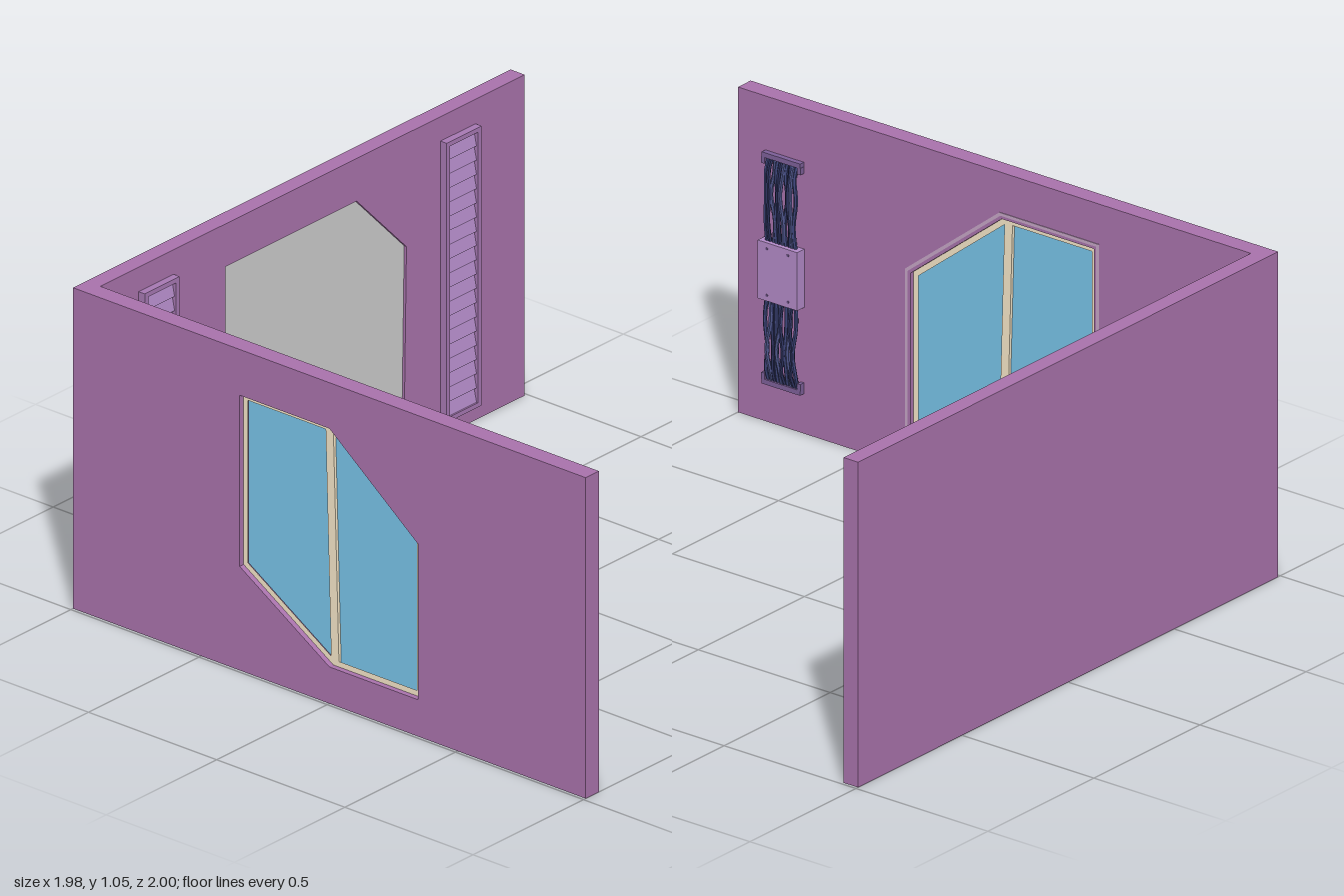
import * as THREE from 'three';

const material = (color, side = THREE.FrontSide) => new THREE.MeshStandardMaterial({ color, side, flatShading: true });
const WALL = material(0xa872ab);
const VENT = material(0xa678b2);
const SLAT = material(0xb189c6);
const GREY = material(0xcccccc);
const GLASS = material(0x78c3e8);
const CREAM = material(0xf5e6c8);
const TRIM = material(0xc4a5c4);
const BRACKET = material(0x7c5f98);
const CABLES = [material(0x3c4478), material(0x4d5488), material(0x2c315c)];
const H = 1.05;

function add(parent, name, geometry, mat, x = 0, y = 0, z = 0) {
  const mesh = new THREE.Mesh(geometry, mat);
  mesh.name = name;
  mesh.position.set(x, y, z);
  parent.add(mesh);
  return mesh;
}

// Box given by its lower and upper corners
function block(parent, name, a, b, mat) {
  const size = b.map((v, i) => v - a[i]);
  const mid = b.map((v, i) => (v + a[i]) / 2);
  return add(parent, name, new THREE.BoxGeometry(...size), mat, ...mid);
}

const points = list => list.map(p => new THREE.Vector2(...p));
const rect = (x0, y0, x1, y1) => [[x0, y0], [x1, y0], [x1, y1], [x0, y1]];

// Extruded outline from z0 to z1, with an optional hole
function plate(outline, hole, z0, z1) {
  const shape = new THREE.Shape(points(outline));
  if (hole) shape.holes.push(new THREE.Path(points(hole)));
  return new THREE.ExtrudeGeometry(shape, { depth: z1 - z0, bevelEnabled: false }).translate(0, 0, z0);
}

// Clockwise convex outline moved outward by d (inward when negative)
function offset(list, d) {
  const n = list.length;
  const normal = (a, b) => {
    const l = Math.hypot(b[0] - a[0], b[1] - a[1]);
    return [-(b[1] - a[1]) / l, (b[0] - a[0]) / l];
  };
  return list.map((p, i) => {
    const m = normal(list[(i + n - 1) % n], p);
    const k = normal(p, list[(i + 1) % n]);
    const s = d / (1 + m[0] * k[0] + m[1] * k[1]);
    return [p[0] + (m[0] + k[0]) * s, p[1] + (m[1] + k[1]) * s];
  });
}

// Side wall with the six-sided window; drawn with local x = -z and local z = x
function sideWall() {
  const g = new THREE.Group();
  g.name = 'sideWall';
  g.rotation.y = Math.PI / 2;
  const opening = [[-0.345, 0.63], [0, 0.9], [0.35, 0.9], [0.35, 0.34], [0, 0.12], [-0.345, 0.12]];
  add(g, 'wallPanel', plate(rect(-1, 0, 1, H), opening, -0.99, -0.93), WALL);
  add(g, 'windowTrim', plate(offset(opening, 0.02), offset(opening, 0.01), -0.932, -0.928), TRIM);
  add(g, 'windowFrame', plate(opening, offset(opening, -0.018), -0.972, -0.944), CREAM);
  add(g, 'windowGlass', plate(offset(opening, -0.01), null, -0.962, -0.954), GLASS);
  const mullion = [[-0.022, 0.13], [0.008, 0.13], [0.03, 0.89], [0, 0.89]];
  add(g, 'windowMullion', plate(mullion, null, -0.972, -0.944), CREAM);
  return g;
}

// Back wall with a shallow recessed screen
function backWall() {
  const g = new THREE.Group();
  g.name = 'backWall';
  const screen = [[-0.365, 0.91], [0.23, 0.91], [0.455, 0.68], [0.445, 0.115], [-0.155, 0.115], [-0.365, 0.34]];
  block(g, 'wallBacking', [-0.93, 0, -1], [0.99, H, -0.96], WALL);
  add(g, 'wallFacing', plate(rect(-0.93, 0, 0.99, H), screen, -0.96, -0.945), WALL);
  add(g, 'screen', plate(screen, null, -0.96, -0.954), GREY);
  return g;
}

// Tall vent: frame, backing and tilted slats
function vent(x) {
  const g = new THREE.Group();
  g.name = 'vent';
  g.position.set(x, 0, -0.945);
  add(g, 'ventFrame', plate(rect(-0.079, 0.055, 0.079, 0.97), rect(-0.063, 0.07, 0.063, 0.955), 0, 0.024), VENT);
  block(g, 'ventBacking', [-0.063, 0.07, 0], [0.063, 0.955, 0.008], SLAT);
  const count = 19, pitch = 0.885 / count;
  const profile = new THREE.Shape(points([[0, 0], [0.018, 0], [0.008, pitch], [0, pitch]]));
  const slat = new THREE.ExtrudeGeometry(profile, { depth: 0.126, bevelEnabled: false });
  slat.rotateY(-Math.PI / 2).translate(0.063, 0, 0);
  for (let i = 0; i < count; i++) add(g, 'ventSlat', slat, SLAT, 0, 0.07 + i * pitch, 0);
  return g;
}

// Cable bundle held by end brackets and a central junction box
function cableUnit() {
  const g = new THREE.Group();
  g.name = 'cableUnit';
  g.position.set(-0.93, 0.502, 0.823);
  block(g, 'junctionBox', [0, -0.094, -0.075], [0.034, 0.094, 0.075], SLAT);
  const screw = new THREE.CylinderGeometry(0.004, 0.004, 0.004, 8).rotateZ(Math.PI / 2);
  for (const y of [-0.075, 0.075])
    for (const z of [-0.04, 0.04]) add(g, 'screw', screw, BRACKET, 0.035, y, z);

  for (const s of [-1, 1]) {
    const half = new THREE.Group();
    half.name = s > 0 ? 'upperCables' : 'lowerCables';
    if (s < 0) half.rotation.x = Math.PI;
    g.add(half);
    block(half, 'bracketBar', [0, 0.358, -0.073], [0.018, 0.374, 0.073], BRACKET);
    for (const z of [-0.068, 0.068])
      block(half, 'bracketTab', [0, 0.338, z - 0.006], [0.018, 0.36, z + 0.006], BRACKET);
    // Cables bow out from the wall and weave slightly sideways
    for (let i = 0; i < 10; i++) {
      const z = -0.054 + i * 0.012;
      const sway = 0.007 * Math.sin(i * 2.3 + s);
      const bow = 0.021 + 0.004 * Math.sin(i * 1.7);
      const path = new THREE.CatmullRomCurve3([
        new THREE.Vector3(0.014, 0.08, z),
        new THREE.Vector3(bow - 0.003, 0.16, z + sway),
        new THREE.Vector3(bow, 0.25, z - sway),
        new THREE.Vector3(bow - 0.004, 0.32, z + sway * 0.5),
        new THREE.Vector3(0.006, 0.362, z)
      ]);
      add(half, 'cable', new THREE.TubeGeometry(path, 14, 0.0065, 6), CABLES[i % 3]);
    }
  }
  return g;
}

export function createModel() {
  const model = new THREE.Group();
  model.name = 'roomCorner';
  model.add(sideWall(), backWall(), vent(-0.678), vent(0.688), cableUnit());
  return model;
}
